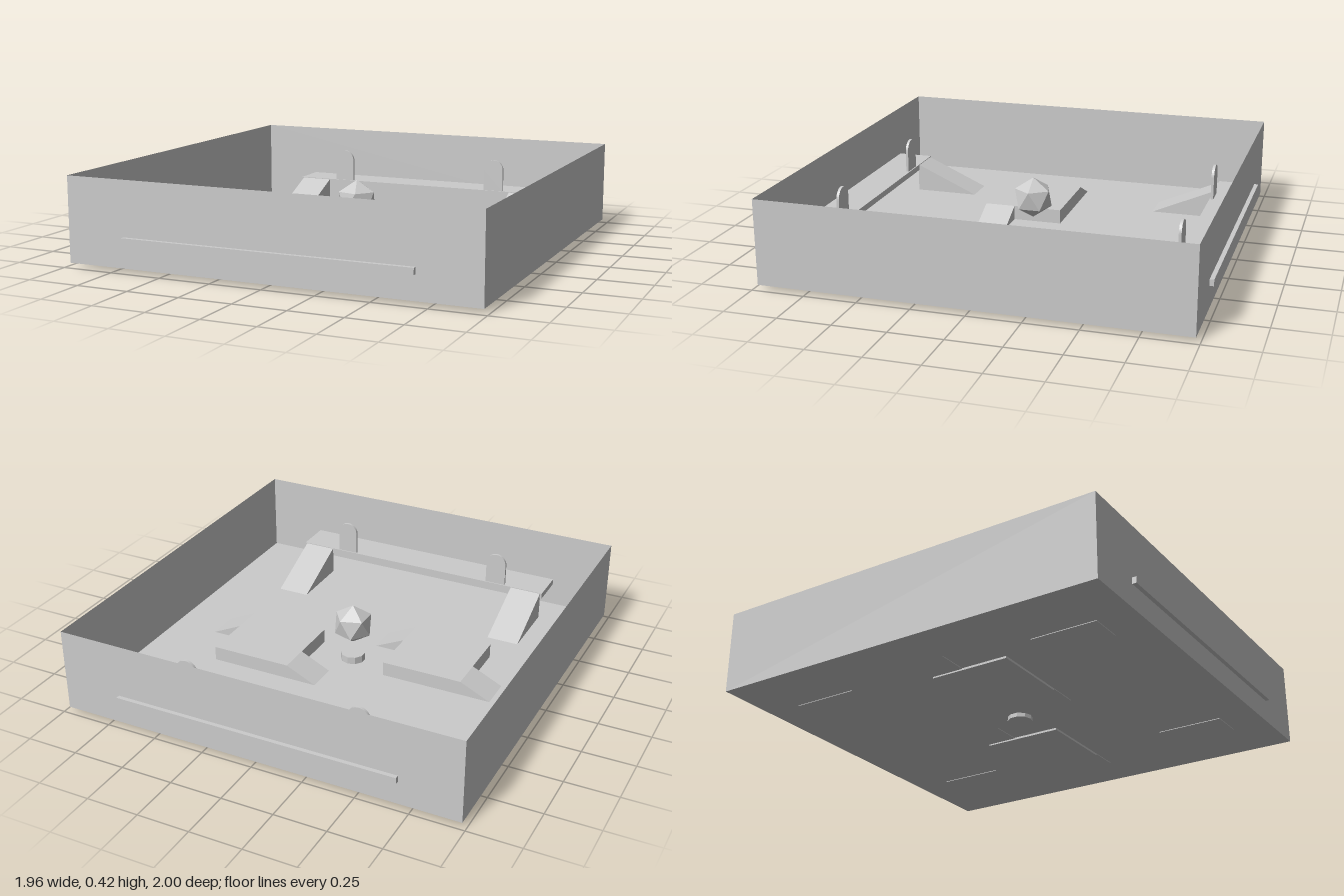
import * as THREE from 'three';

const solid = new THREE.MeshStandardMaterial({ color: 0xcccccc, flatShading: true });
const sheet = new THREE.MeshStandardMaterial({ color: 0xcccccc, flatShading: true, side: THREE.DoubleSide });

function add(parent, name, geometry, x, y, z, turn = 0, material = solid) {
  const mesh = new THREE.Mesh(geometry, material);
  mesh.name = name;
  mesh.position.set(x, y, z);
  mesh.rotation.y = turn;
  parent.add(mesh);
  return mesh;
}

// Solid wedge: tall end at local x = 0, sloping down towards +x
function wedge(length, height, width) {
  const side = new THREE.Shape([
    new THREE.Vector2(0, 0), new THREE.Vector2(length, 0), new THREE.Vector2(0, height),
  ]);
  return new THREE.ExtrudeGeometry(side, { depth: width, bevelEnabled: false }).translate(0, 0, -width / 2);
}

// Thin upright plate with a round top
function plate(width, height, depth) {
  const r = width / 2;
  const s = new THREE.Shape();
  s.moveTo(-r, 0);
  s.lineTo(r, 0);
  s.lineTo(r, height - r);
  s.absarc(0, height - r, r, 0, Math.PI, false);
  s.closePath();
  return new THREE.ExtrudeGeometry(s, { depth, bevelEnabled: false, curveSegments: 10 }).translate(0, 0, -depth / 2);
}

export function createModel() {
  const model = new THREE.Group();
  model.name = 'arena';
  const half = 0.98, floorY = 0.02, wallH = 0.4;

  // Floor and four sheet walls
  add(model, 'floor', new THREE.PlaneGeometry(half * 2, half * 2).rotateX(-Math.PI / 2), 0, floorY, 0, 0, sheet);
  for (let i = 0; i < 4; i++) {
    const a = i * Math.PI / 2;
    add(model, 'wall', new THREE.PlaneGeometry(half * 2, wallH),
      Math.sin(a) * half, floorY + wallH / 2, Math.cos(a) * half, a, sheet);
  }

  // Balcony at each end, with two ramps and two round-topped plates
  for (const end of [0, Math.PI]) {
    const balcony = new THREE.Group();
    balcony.name = 'balcony';
    balcony.rotation.y = end;
    add(balcony, 'ledge', new THREE.BoxGeometry(1.38, 0.03, 0.2), 0, 0.147, 0.9);
    for (const s of [-1, 1]) {
      add(balcony, 'balconyRamp', wedge(0.325, 0.144, 0.16), s * 0.6, 0.017, 0.805, Math.PI / 2);
      add(balcony, 'roundedPlate', plate(0.105, 0.165, 0.013), s * 0.43, 0.16, 0.812);
    }
    model.add(balcony);
  }

  // Two raised platforms, half a turn apart, each with two ramps
  for (const turn of [0, Math.PI]) {
    const platform = new THREE.Group();
    platform.name = 'platform';
    platform.rotation.y = turn;
    add(platform, 'platformBlock', new THREE.BoxGeometry(0.4, 0.08, 0.39), 0.4, 0.05, -0.115);
    add(platform, 'outerRamp', wedge(0.155, 0.073, 0.158), 0.6, 0.017, 0.001);
    add(platform, 'innerRamp', wedge(0.155, 0.073, 0.15), 0.2, 0.017, -0.235, Math.PI);
    model.add(platform);
  }

  // Pedestal with a floating gem, one point straight up
  add(model, 'pedestal', new THREE.CylinderGeometry(0.06, 0.06, 0.056, 10), 0, 0.028, 0);
  const tilt = Math.atan2(1, (1 + Math.sqrt(5)) / 2);
  add(model, 'gem', new THREE.IcosahedronGeometry(0.1, 0).rotateZ(-tilt), 0, 0.215, 0);

  return model;
}
